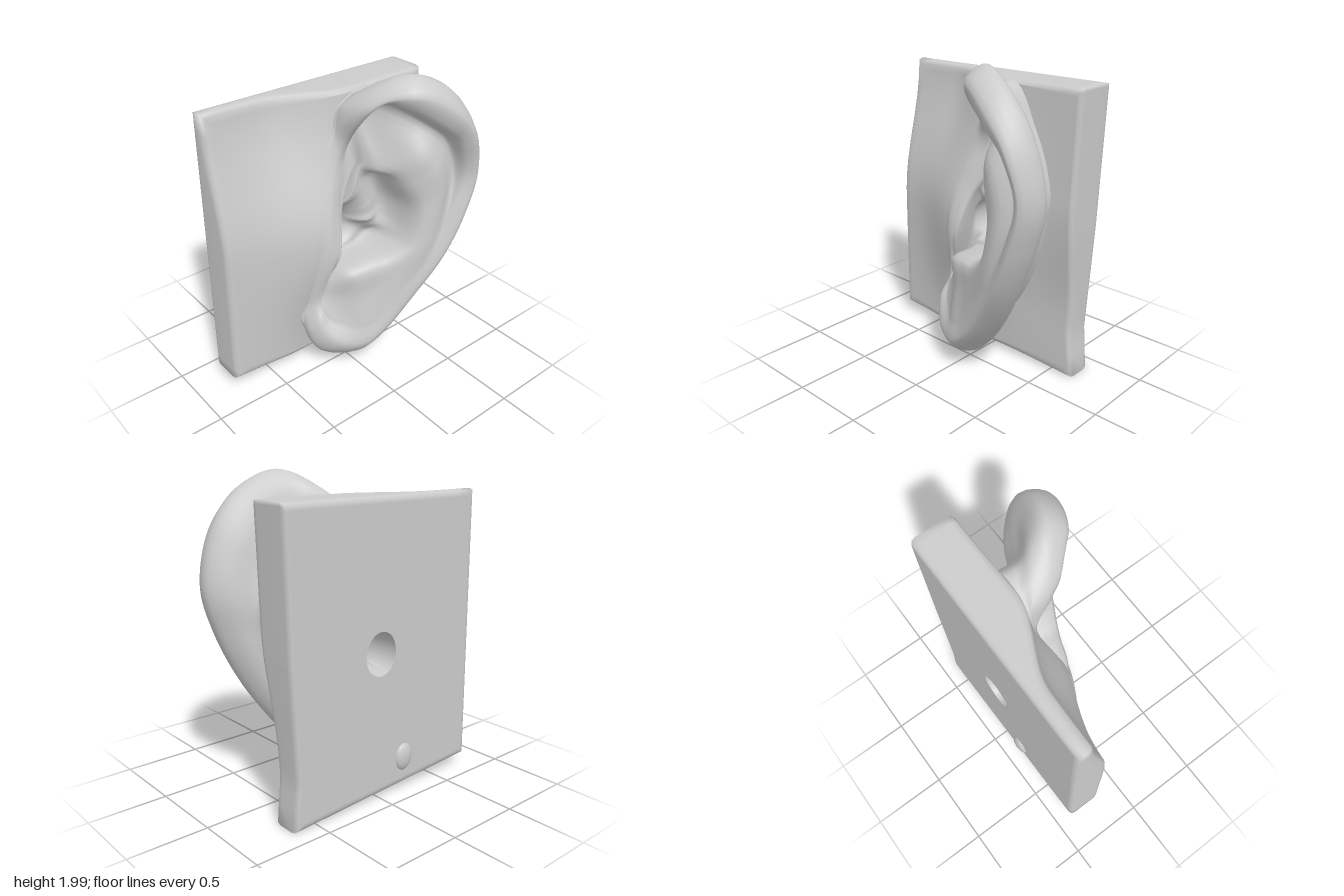
import * as THREE from 'three';

const STEPS = 12; // columns between two stations
const mix = (a, b, t) => a + (b - a) * t;
const bell = (d) => Math.exp(-d * d);
const smooth = THREE.MathUtils.smoothstep;

// Feature lines run clockwise from the helix root, over the top, down to the lobe and up the tragus.
// Outer rim: x, y, z, how far the root sits inside the rim (negative where it melts into the cheek)
const RIM = [
  [-0.01, 1.56, -0.08, -0.08], [0.05, 1.83, 0.05, 0.05], [0.28, 2.0, 0.2, 0.14], [0.52, 1.91, 0.28, 0.3],
  [0.7, 1.68, 0.29, 0.36], [0.785, 1.35, 0.28, 0.37], [0.72, 1.05, 0.27, 0.35], [0.57, 0.72, 0.23, 0.28],
  [0.38, 0.42, 0.14, 0.21], [0.18, 0.18, 0.04, 0.17], [0.0, 0.05, 0.0, 0.14], [-0.2, 0.13, 0.0, 0.1],
  [-0.28, 0.3, -0.02, 0.02], [-0.25, 0.54, -0.05, -0.12], [-0.2, 0.9, 0.02, -0.15], [-0.13, 1.27, -0.06, -0.15],
];
// Inner edge of the rim: x, y, z, groove depth under it
const FOLD = [
  [0.08, 1.52, -0.08, 0.02], [0.13, 1.82, 0.12, 0.19], [0.25, 1.82, 0.27, 0.22], [0.44, 1.69, 0.36, 0.12],
  [0.58, 1.56, 0.385, 0.1], [0.65, 1.33, 0.37, 0.07], [0.58, 1.08, 0.355, 0.02], [0.45, 0.8, 0.33, 0],
  [0.27, 0.55, 0.27, 0], [0.12, 0.38, 0.22, 0], [0.0, 0.33, 0.18, 0], [-0.1, 0.34, 0.11, 0.01],
  [-0.18, 0.42, 0.03, 0], [-0.18, 0.57, -0.01, 0], [-0.11, 0.88, 0.05, 0], [-0.03, 1.25, -0.03, 0],
];
// Edge of the bowl: x, y, z, hollow between fold and bowl
const BOWL = [
  [0.13, 1.35, -0.08, 0.01], [0.16, 1.42, -0.02, 0.09], [0.2, 1.39, 0.07, 0.14], [0.27, 1.36, 0.16, 0],
  [0.32, 1.28, 0.22, -0.02], [0.37, 1.14, 0.26, -0.02], [0.36, 0.99, 0.27, -0.02], [0.31, 0.87, 0.25, -0.02],
  [0.2, 0.79, 0.2, -0.01], [0.1, 0.775, 0.16, 0], [0.0, 0.755, 0.13, 0.01], [-0.07, 0.73, 0.09, 0.03],
  [-0.13, 0.67, 0.0, 0.01], [-0.15, 0.64, -0.04, 0.01], [-0.08, 0.86, 0.05, 0], [0.0, 1.15, -0.03, 0],
];
const CORNERS = [[-0.765, 1.87], [0.71, 1.875], [0.68, 1.0], [0.64, 0.3], [0.665, 0.01], [-0.78, 0.09]];
const CENTRE = [0.1, 1.0];
const HOLE = [0.015, 0.95];
const BACK = -0.4;

// Closed Catmull-Rom through rows of numbers
function closedSpline(rows) {
  const n = rows.length, out = [];
  for (let i = 0; i < n; i++) {
    const [a, b, c, d] = [-1, 0, 1, 2].map((k) => rows[(i + k + n) % n]);
    for (let s = 0; s < STEPS; s++) {
      const t = s / STEPS;
      out.push(b.map((_, k) => b[k] + 0.5 * t * (c[k] - a[k]
        + t * (2 * a[k] - 5 * b[k] + 4 * c[k] - d[k] + t * (3 * (b[k] - c[k]) + d[k] - a[k])))));
    }
  }
  return out;
}

// Front face of the slab, swelling toward the tragus
function faceZ(x, y) {
  const left = -0.3 + 0.14 * smooth(1.87 - y, 0, 0.9);
  const right = mix(-0.21, -0.12, smooth(y, 0.4, 1.2));
  return mix(left, right, smooth(x, -0.4, 0.15)) + 0.18 * bell((x + 0.1) / 0.37) * bell((y - 0.9) / 0.6);
}

// Bowl floor with the ridge that crosses it
function floorZ(x, y) {
  const d = 0.586 * (x - 0.03) + 0.81 * (y - 1.13);
  return -0.1 + 0.06 * smooth(d, 0, 0.1) + 0.1 * bell(d / 0.06) * smooth(x, -0.02, 0.1);
}

function holePoint(from, z, r = 0.115) {
  const a = Math.atan2(from[1] - HOLE[1], from[0] - HOLE[0]);
  return new THREE.Vector3(HOLE[0] + r * 0.92 * Math.cos(a), HOLE[1] + r * 1.05 * Math.sin(a), z);
}

// Where a ray from the centre through p leaves the slab outline
function outlinePoint(p) {
  const dx = p.x - CENTRE[0], dy = p.y - CENTRE[1];
  let best = Infinity;
  CORNERS.forEach(([ax, ay], i) => {
    const [bx, by] = CORNERS[(i + 1) % CORNERS.length];
    const ex = bx - ax, ey = by - ay, det = dx * ey - dy * ex;
    const t = ((ax - CENTRE[0]) * ey - (ay - CENTRE[1]) * ex) / det;
    const s = ((ax - CENTRE[0]) * dy - (ay - CENTRE[1]) * dx) / det;
    if (t > 0 && s > -1e-6 && s < 1 + 1e-6 && t < best) best = t;
  });
  return [CENTRE[0] + dx * best, CENTRE[1] + dy * best];
}

// Skin a closed ring of columns, each a list of points
function skin(columns, name, material) {
  const rows = columns[0].length, n = columns.length, index = [];
  const position = columns.flatMap((col) => col.flatMap((p) => [p.x, p.y, p.z]));
  for (let c = 0; c < n; c++) {
    for (let r = 0; r < rows - 1; r++) {
      const a = c * rows + r, b = ((c + 1) % n) * rows + r;
      index.push(a, a + 1, b, b, a + 1, b + 1);
    }
  }
  const g = new THREE.BufferGeometry();
  g.setAttribute('position', new THREE.Float32BufferAttribute(position, 3));
  g.setIndex(index);
  g.computeVertexNormals();
  const mesh = new THREE.Mesh(g, material);
  mesh.name = name;
  return mesh;
}

export function createModel() {
  const group = new THREE.Group();
  const material = new THREE.MeshStandardMaterial({ color: 0xcccccc, side: THREE.DoubleSide });
  const rim = closedSpline(RIM), fold = closedSpline(FOLD), bowl = closedSpline(BOWL);
  const V = (x, y, z) => new THREE.Vector3(x, y, z);
  const between = (a, b, t, z) => V(mix(a[0], b[0], t), mix(a[1], b[1], t), z);

  // Ear: one section per column, from the root over the rim into the canal
  const roots = [];
  const earColumns = rim.map((o, i) => {
    const g = fold[i], c = bowl[i];
    const cheek = smooth(-o[3], 0, 0.12);
    const settle = (p) => { p.z = mix(p.z, faceZ(p.x, p.y), cheek); return p; };
    const root = between(o, CENTRE, o[3], 0);
    root.z = faceZ(root.x, root.y);
    roots.push(root);
    const neck = settle(between(o, CENTRE, o[3] * mix(1, 0.67, cheek), Math.max(o[2] - 0.21, root.z + 0.015)));
    const rimBack = settle(between(o, CENTRE, o[3] * 0.38, Math.max(o[2] - 0.12, root.z + 0.025)));
    const edge = settle(V(o[0], o[1], o[2]));
    const bulge = Math.min(mix(0.02, 0.055, smooth(o[1], 0.3, 1.2)), 0.35 * Math.hypot(o[0] - g[0], o[1] - g[1]));
    const crest = between(o, g, 0.5, mix(Math.max(edge.z, g[2]) + bulge, (edge.z + g[2]) / 2 + 0.01, cheek));
    const groove = between(g, c, 0.08, mix(g[2], c[2], 0.08) - g[3]);
    const ridge = between(g, c, 0.55, mix(g[2], c[2], 0.55) - c[3]);
    const e = holePoint(c, -0.2), end = holePoint(c, BACK, 0.13);
    const wall = between(c, [e.x, e.y], 0.18, 0), floor = between(c, [e.x, e.y], 0.65, 0);
    wall.z = Math.min(c[2] - 0.03, floorZ(wall.x, wall.y));
    floor.z = Math.min(wall.z, floorZ(floor.x, floor.y) - 0.02);
    const section = [root, neck, rimBack, edge, crest, V(g[0], g[1], g[2]), groove, ridge,
      V(c[0], c[1], c[2]), wall, floor, e, end];
    return new THREE.CatmullRomCurve3(section).getPoints((section.length - 1) * 4);
  });
  group.add(skin(earColumns, 'ear', material));

  // Slab outline, with the nearest column moved onto each corner
  const outline = roots.map(outlinePoint);
  for (const corner of CORNERS) {
    let near = 0;
    const gap = (p) => Math.hypot(p[0] - corner[0], p[1] - corner[1]);
    outline.forEach((p, i) => { if (gap(p) < gap(outline[near])) near = i; });
    outline[near] = corner;
  }
  // Slab: from the canal hole across the back, round the edge, and in to the ear root
  const slabColumns = outline.map((p, i) => {
    const root = roots[i], inset = between(p, CENTRE, 0.03, 0);
    const front = faceZ(p[0], p[1]);
    const col = [holePoint(p, BACK, 0.13), between(p, CENTRE, 0.05, BACK), V(inset.x, inset.y, BACK),
      between(p, CENTRE, 0.008, BACK + 0.012), V(p[0], p[1], BACK + 0.035),
      V(p[0], p[1], front - 0.04), between(p, CENTRE, 0.008, front - 0.012)];
    for (let k = 0; k <= 14; k++) {
      const q = between([inset.x, inset.y], [root.x, root.y], k / 14, 0);
      q.z = faceZ(q.x, q.y);
      col.push(q);
    }
    return col;
  });
  group.add(skin(slabColumns, 'slab', material));

  // Small lump on the back
  const lump = new THREE.Mesh(new THREE.SphereGeometry(1, 20, 14), material);
  lump.name = 'backLump';
  lump.scale.set(0.07, 0.09, 0.035);
  lump.position.set(-0.19, 0.24, -0.395);
  group.add(lump);
  return group;
}
